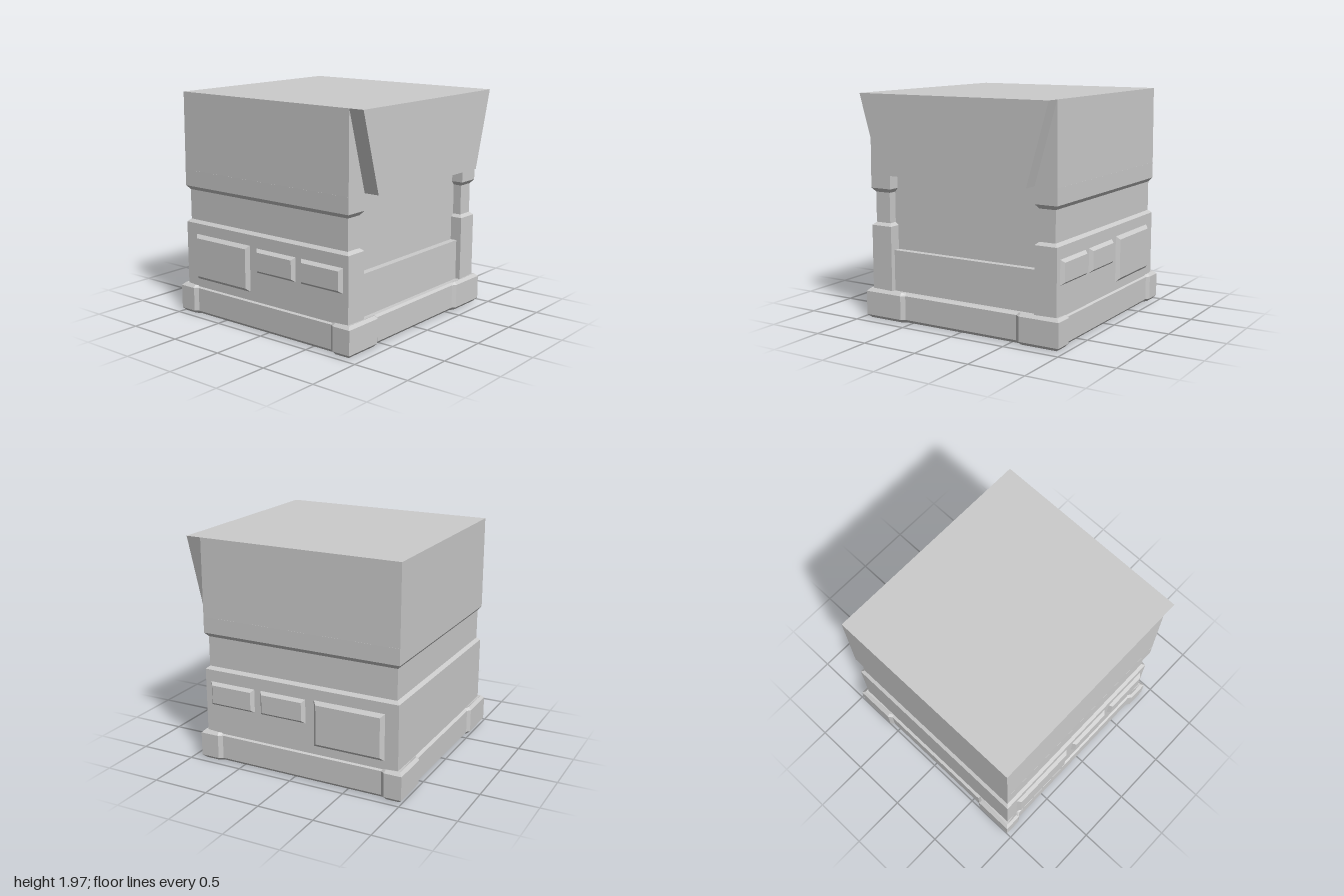
import * as THREE from 'three';

const material = new THREE.MeshStandardMaterial({ color: 0xcccccc, flatShading: true });

// Shrinks a counter-clockwise [x, -z] outline by d with mitred corners
function inset(outline, d) {
  const n = outline.length;
  const pts = outline.map(([x, v]) => new THREE.Vector2(x, v));
  const normals = pts.map((p, i) => {
    const e = pts[(i + 1) % n].clone().sub(p).normalize();
    return new THREE.Vector2(-e.y, e.x);
  });
  return pts.map((p, i) => {
    const a = normals[(i + n - 1) % n], b = normals[i];
    return p.clone().add(a.clone().add(b).multiplyScalar(d / (1 + a.dot(b))));
  });
}

// Skins a stack of rings of Vector3 and caps both ends
function skin(rings) {
  const pos = [], n = rings[0].length;
  const tri = (...pts) => pts.forEach((p) => pos.push(p.x, p.y, p.z));
  for (let r = 0; r + 1 < rings.length; r++) {
    const lo = rings[r], hi = rings[r + 1];
    for (let i = 0; i < n; i++) {
      const j = (i + 1) % n;
      tri(lo[i], lo[j], hi[j]);
      tri(lo[i], hi[j], hi[i]);
    }
  }
  const cap = (ring, flip) => {
    const flat = ring.map((p) => new THREE.Vector2(p.x, -p.z));
    for (const [a, b, c] of THREE.ShapeUtils.triangulateShape(flat, [])) {
      if (flip) tri(ring[a], ring[c], ring[b]);
      else tri(ring[a], ring[b], ring[c]);
    }
  };
  cap(rings[0], true);
  cap(rings[rings.length - 1], false);
  const g = new THREE.BufferGeometry();
  g.setAttribute('position', new THREE.Float32BufferAttribute(pos, 3));
  g.computeVertexNormals();
  return g;
}

// Levels are [y, inset]; height(y, i) may vary the height per corner
function loft(outline, levels, height = (y) => y) {
  return skin(levels.map(([y, d]) =>
    inset(outline, d).map((p, i) => new THREE.Vector3(p.x, height(y, i), -p.y))));
}

const rect = (x0, x1, z0, z1) => [[x0, -z1], [x1, -z1], [x1, -z0], [x0, -z0]];

export function createModel() {
  const model = new THREE.Group();
  const add = (name, geometry) => {
    const mesh = new THREE.Mesh(geometry, material);
    mesh.name = name;
    model.add(mesh);
  };

  // Plinth with thicker corner blocks and chamfered edges
  const X = 0.955, F = 0.91, B = -1, s = 0.025;
  const plinth = [
    [-X, -F], [-0.59, -F], [-0.555, -F + s], [0.555, -F + s], [0.59, -F],
    [X, -F], [X, -0.74], [X - s, -0.705], [X - s, 0.81], [X, 0.845],
    [X, -B], [0.6, -B], [0.565, -B - s], [-0.565, -B - s], [-0.6, -B],
    [-X, -B], [-X, 0.845], [-X + s, 0.81], [-X + s, -0.705], [-X, -0.74],
  ];
  const recessed = new Set([2, 3, 7, 8, 12, 13, 17, 18]);
  add('plinth', loft(plinth, [[0, 0.03], [0.03, 0], [0.24, 0], [0.265, 0.025]],
    (y, i) => (y === 0.265 && recessed.has(i) ? 0.255 : y)));

  // Lower body: open front recess between two pillars, groove all round
  const body = [
    [-0.912, -0.865], [-0.71, -0.865], [-0.71, -0.75], [0.71, -0.75],
    [0.71, -0.865], [0.912, -0.865], [0.912, 0.95], [-0.912, 0.95],
  ];
  add('bodyWithPillars', loft(body,
    [[0.25, 0], [0.825, 0], [0.85, 0.028], [1.115, 0.028], [1.15, 0], [1.29, 0]]));

  // Back wall of the recess and the ledge in front of its foot
  const box = (w, y0, y1, z0, z1) =>
    new THREE.BoxGeometry(w, y1 - y0, z1 - z0).translate(0, (y0 + y1) / 2, (z0 + z1) / 2);
  add('recessWall', box(1.48, 0.25, 1.29, 0.6, 0.76));
  add('recessLedge', box(1.42, 0.25, 0.615, 0.7, 0.82));

  // Upper body, narrowing very slightly to the top
  const ring = (y, x, z0, z1) => rect(-x, x, z0, z1).map(([px, v]) => new THREE.Vector3(px, y, -v));
  add('upperBody', skin([ring(1.29, 0.911, -0.95, 0.865), ring(1.97, 0.906, -0.95, 0.865)]));

  // Overhanging front hood, narrower at the bottom
  add('frontHood', skin([ring(1.29, 0.71, 0.85, 1), ring(1.97, 0.906, 0.85, 1)]));

  // Raised bevelled panels on both sides: z0, z1, y0, y1, bevel
  const panels = [
    ['smallFrontPanel', 0.38, 0.81, 0.51, 0.72, 0.025],
    ['smallMiddlePanel', -0.11, 0.32, 0.51, 0.72, 0.025],
    ['largeRearPanel', -0.83, -0.19, 0.325, 0.73, 0.03],
  ];
  for (const [name, z0, z1, y0, y1, bevel] of panels) {
    for (const [side, sign] of [['Left', 1], ['Right', -1]]) {
      const outline = sign > 0 ? rect(-y1, -y0, z0, z1) : rect(y0, y1, z0, z1);
      const g = loft(outline, [[0.9, 0], [0.912, 0], [0.942, bevel]]);
      add(name + side, g.rotateZ(-sign * Math.PI / 2));
    }
  }
  return model;
}
